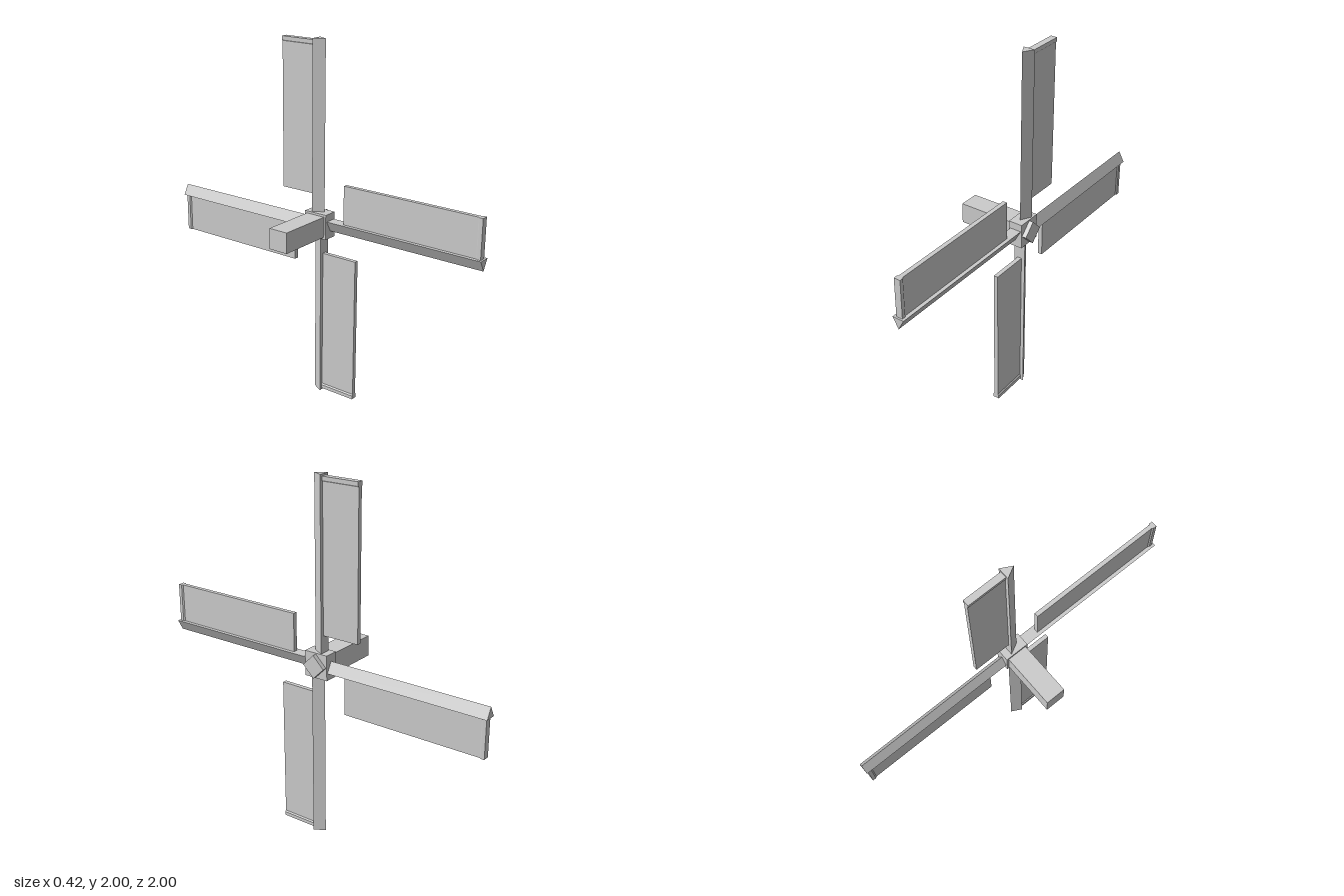
import * as THREE from 'three';

const material = new THREE.MeshStandardMaterial({ color: 0xcccccc, flatShading: true });

function part(name, geometry, x = 0, y = 0, z = 0) {
  const mesh = new THREE.Mesh(geometry, material);
  mesh.name = name;
  mesh.position.set(x, y, z);
  return mesh;
}

function prism(points, depth) {
  const shape = new THREE.Shape(points.map(([x, y]) => new THREE.Vector2(x, y)));
  return new THREE.ExtrudeGeometry(shape, { depth, bevelEnabled: false });
}

// One blade pointing up, its sail trailing towards -z
function createBlade() {
  const blade = new THREE.Group();
  blade.name = 'blade';

  // Triangular spar, sharp edge leading
  const spar = prism([[0, -0.03], [0.0325, 0.03], [-0.0325, 0.03]], 0.95).rotateX(-Math.PI / 2);
  blade.add(part('spar', spar, 0, 0.05, 0));

  // Thin sail with a slightly thicker chamfered rail at its tip
  blade.add(part('sail', new THREE.BoxGeometry(0.024, 0.805, 0.215), 0, 0.5675, -0.1375));
  const rail = prism([[-0.018, 0.99], [-0.018, 0.97], [-0.012, 0.962],
    [0.012, 0.962], [0.018, 0.97], [0.018, 0.99]], 0.215);
  blade.add(part('tipRail', rail, 0, 0, -0.245));
  return blade;
}

export function createModel() {
  const model = new THREE.Group();
  model.name = 'windmillRotor';

  // Axle, hub and diamond-shaped cap
  model.add(part('axle', new THREE.BoxGeometry(0.32, 0.115, 0.115), -0.05, 1, 0));
  model.add(part('hub', new THREE.BoxGeometry(0.08, 0.14, 0.14), 0.145, 1, 0));
  const cap = new THREE.CylinderGeometry(0.065, 0.065, 0.025, 4).rotateZ(-Math.PI / 2);
  model.add(part('hubCap', cap, 0.1965, 1, 0));

  // Four blades turned around the axle
  for (let i = 0; i < 4; i++) {
    const blade = createBlade();
    blade.position.set(0.147, 1, 0);
    blade.rotation.x = i * Math.PI / 2;
    model.add(blade);
  }
  return model;
}
